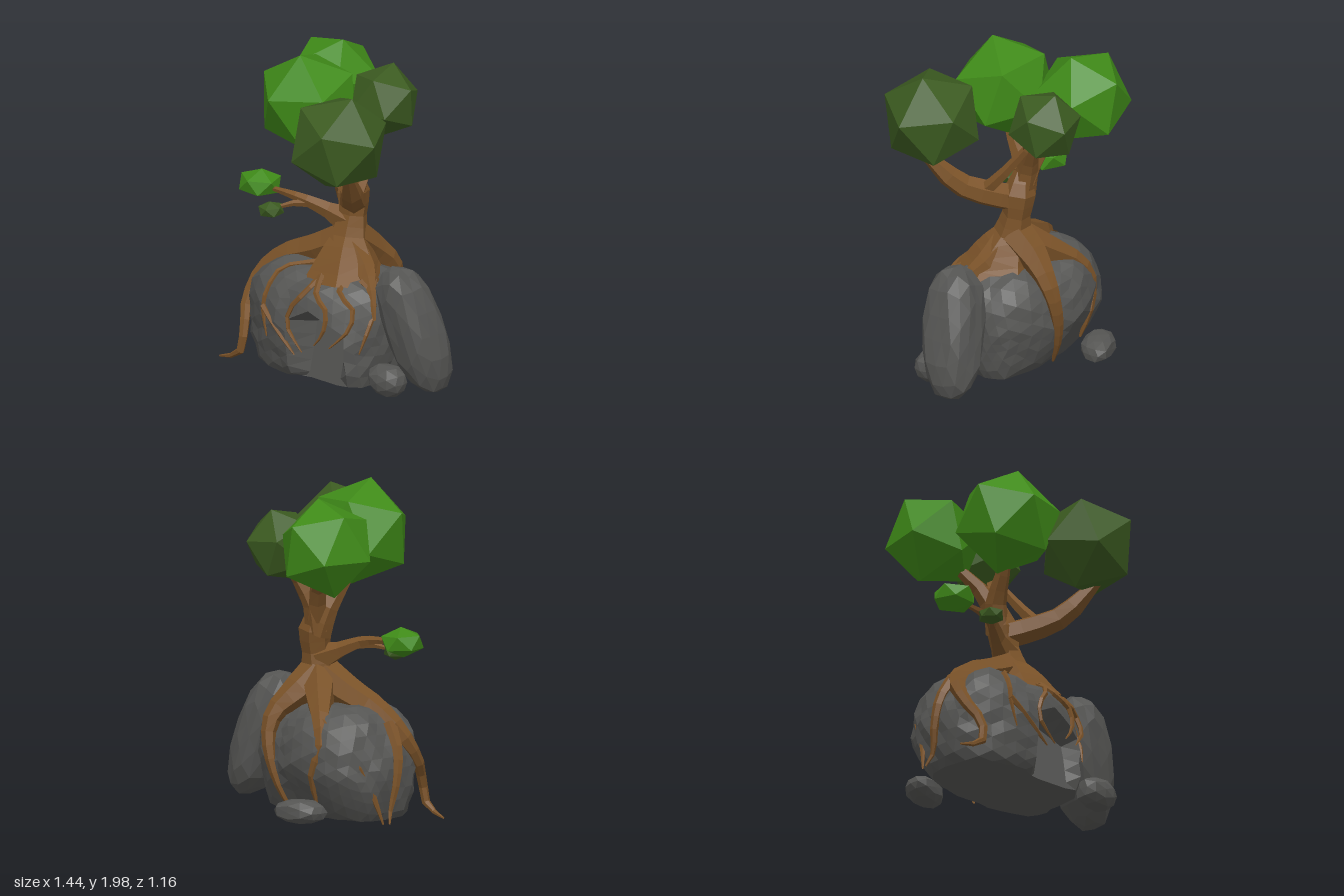
import * as THREE from 'three';

const paint = (color) => new THREE.MeshStandardMaterial({ color, flatShading: true, side: THREE.DoubleSide });
const V = (a) => new THREE.Vector3(...a);

// Main rock: centre, half sizes and roundness exponent
const ROCK = { c: [-0.15, 0.28, -0.05], s: [0.505, 0.415, 0.38], p: 2.9 };

// Lumpy super-ellipsoid stone; shape() may adjust each finished vertex
function stoneGeometry({ c, s, p }, detail, seed, shape = () => {}) {
  const geo = new THREE.IcosahedronGeometry(1, detail);
  const pos = geo.attributes.position;
  const v = new THREE.Vector3();
  for (let i = 0; i < pos.count; i++) {
    v.fromBufferAttribute(pos, i).normalize();
    const lump = 1 + 0.03 * (Math.sin(5 * v.x + 3 * v.y + seed) + Math.sin(6 * v.z - 4 * v.y + 2 * seed)
      * Math.cos(7 * v.x + seed)) + 0.014 * Math.sin(17 * v.x + 13 * v.y + 19 * v.z + seed);
    const sum = Math.abs(v.x) ** p + Math.abs(v.y) ** p + Math.abs(v.z) ** p;
    v.multiplyScalar(lump * sum ** (-1 / p));
    v.set(c[0] + v.x * s[0], c[1] + v.y * s[1], c[2] + v.z * s[2]);
    shape(v);
    pos.setXYZ(i, v.x, v.y, v.z);
  }
  geo.computeVertexNormals();
  return geo;
}

// Tapered limb along a curve; radii are spread evenly over its length
function limbGeometry(points, radii, sides) {
  const curve = new THREE.CatmullRomCurve3(points.map(V), false, 'centripetal');
  const segs = (points.length - 1) * 2;
  const geo = new THREE.TubeGeometry(curve, segs, 1, sides);
  const pos = geo.attributes.position;
  const v = new THREE.Vector3();
  for (let i = 0; i <= segs; i++) {
    const centre = curve.getPointAt(i / segs);
    const t = (i / segs) * (radii.length - 1);
    const k = Math.min(Math.floor(t), radii.length - 2);
    const r = THREE.MathUtils.lerp(radii[k], radii[k + 1], t - k);
    for (let j = 0; j <= sides; j++) {
      const n = i * (sides + 1) + j;
      v.fromBufferAttribute(pos, n).sub(centre).multiplyScalar(r).add(centre);
      pos.setXYZ(n, v.x, v.y, v.z);
    }
  }
  return geo;
}

// Rotation taking one pair of neighbouring icosahedron corners to directions a and b
function cornerRotation(a, b) {
  const g = (1 + Math.sqrt(5)) / 2;
  const frame = (p, q) => {
    const x = p.clone().normalize();
    const z = x.clone().cross(q).normalize();
    return new THREE.Matrix4().makeBasis(x, z.clone().cross(x), z);
  };
  const from = frame(V([-1, g, 0]), V([1, g, 0]));
  return frame(V(a), V(b)).multiply(from.transpose());
}

// Height field of the main rock's front face
function rockFrontZ(x, y) {
  const { c, s, p } = ROCK;
  const rest = 1 - Math.abs((x - c[0]) / s[0]) ** p - Math.abs((y - c[1]) / s[1]) ** p;
  return c[2] + s[2] * Math.max(rest, 0.02) ** (1 / p);
}

export function createModel() {
  const model = new THREE.Group();
  const bark = paint(0x7a5228);
  const stone = paint(0x555553);
  const lightLeaf = paint(0x3f8a18);
  const darkLeaf = paint(0x3b5a20);
  const add = (name, geo, mat) => {
    const mesh = new THREE.Mesh(geo, mat);
    mesh.name = name;
    model.add(mesh);
  };
  const limb = (name, points, radii, sides = 6) => add(name, limbGeometry(points, radii, sides), bark);

  // Foliage: centre, half sizes, two corner directions
  const foliage = [
    ['foliageFront', lightLeaf, [-0.19, 1.69, 0.105], [0.335, 0.32, 0.305], [-0.04, 0.06, 0.3], [0.01, 0.3, 0.09]],
    ['foliageRight', darkLeaf, [0.255, 1.59, 0.305], [0.305, 0.31, 0.31], [0.1, 0.29, -0.01], [0.3, 0.02, 0.01]],
    ['foliageBackLeft', lightLeaf, [-0.4, 1.66, -0.315], [0.3, 0.3, 0.295], [0.1, 0.29, 0.014], [-0.2, 0.21, -0.028]],
    ['foliageBack', darkLeaf, [0, 1.63, -0.34], [0.22, 0.23, 0.22], [0, 0.21, -0.08], [0.2, 0.09, -0.02]],
    ['leafTuftLarge', lightLeaf, [-0.595, 1.08, 0.1], [0.14, 0.09, 0.135], [0.1, 1, 0], [0.8, 0.5, 0.2]],
    ['leafTuftSmall', darkLeaf, [-0.4, 0.985, 0.205], [0.08, 0.052, 0.085], [0, 1, 0.1], [0.9, 0.5, 0]],
  ];
  for (const [name, mat, c, s, a, b] of foliage) {
    const geo = new THREE.IcosahedronGeometry(1, 0).applyMatrix4(cornerRotation(a, b));
    add(name, geo.scale(...s).translate(...c), mat);
  }

  // Trunk and branches
  limb('trunk', [[0, 0.58, -0.02], [-0.01, 0.7, -0.04], [-0.03, 0.85, -0.08], [-0.03, 1, -0.11],
    [-0.04, 1.12, -0.12], [-0.07, 1.24, -0.12]], [0.27, 0.19, 0.115, 0.085, 0.1, 0.05], 6);
  limb('branchRight', [[-0.04, 1.07, -0.11], [0.07, 1.11, -0.01], [0.2, 1.18, 0.13], [0.34, 1.4, 0.31]],
    [0.085, 0.08, 0.065, 0.03]);
  limb('branchFront', [[-0.07, 1.08, -0.12], [-0.12, 1.24, -0.09], [-0.15, 1.4, 0.01], [-0.18, 1.55, 0.08]],
    [0.08, 0.065, 0.045, 0.035]);
  limb('branchBack', [[-0.07, 1.1, -0.12], [-0.07, 1.27, -0.16], [-0.02, 1.42, -0.23], [0.01, 1.55, -0.31]],
    [0.08, 0.065, 0.045, 0.035]);
  limb('branchBackLeft', [[-0.08, 1.18, -0.14], [-0.14, 1.34, -0.18], [-0.3, 1.52, -0.27]], [0.065, 0.05, 0.03]);
  limb('twigRight', [[0.12, 1.13, 0.03], [0.09, 1.25, -0.08], [0.04, 1.45, -0.23]], [0.045, 0.035, 0.025], 5);
  limb('sideBranch', [[-0.05, 0.93, -0.09], [-0.17, 0.99, -0.02], [-0.27, 1.04, 0.05], [-0.37, 1.06, 0.08],
    [-0.53, 1.07, 0.1]], [0.09, 0.05, 0.035, 0.022, 0.012], 5);
  limb('sideTwig', [[-0.24, 1.02, 0.03], [-0.32, 1.02, 0.11], [-0.39, 0.99, 0.19]], [0.028, 0.018, 0.01], 5);

  // Large roots gripping the left and back of the rock
  const bigRoots = [
    ['rootLeft', [[-0.06, 0.82, -0.06], [-0.24, 0.73, -0.02], [-0.44, 0.65, 0.03], [-0.57, 0.53, 0.1],
      [-0.6, 0.38, 0.2], [-0.54, 0.22, 0.29], [-0.56, 0.08, 0.31], [-0.72, 0.02, 0.31]],
    [0.11, 0.1, 0.085, 0.065, 0.04, 0.03, 0.025, 0.006]],
    ['rootLeftOuter', [[-0.54, 0.59, 0.04], [-0.64, 0.44, 0.03], [-0.665, 0.25, 0.0], [-0.65, 0.1, -0.03],
      [-0.68, 0.02, -0.06]], [0.05, 0.035, 0.028, 0.02, 0.006]],
    ['rootBack', [[-0.03, 0.84, -0.1], [-0.02, 0.74, -0.24], [0.02, 0.63, -0.37], [0.02, 0.52, -0.42],
      [-0.01, 0.36, -0.43], [-0.05, 0.18, -0.39], [-0.08, 0.06, -0.34]],
    [0.11, 0.095, 0.065, 0.045, 0.035, 0.025, 0.008]],
    ['rootBackLeft', [[-0.05, 0.82, -0.1], [-0.2, 0.71, -0.21], [-0.34, 0.61, -0.31], [-0.41, 0.48, -0.36],
      [-0.36, 0.3, -0.39], [-0.34, 0.12, -0.34]], [0.11, 0.09, 0.06, 0.04, 0.028, 0.008]],
    ['rootBackLeftFork', [[-0.35, 0.61, -0.31], [-0.5, 0.51, -0.27], [-0.59, 0.38, -0.23], [-0.63, 0.2, -0.15],
      [-0.67, 0.02, -0.1]], [0.04, 0.035, 0.028, 0.02, 0.006]],
    ['rootRight', [[0.02, 0.78, -0.05], [0.15, 0.69, -0.02], [0.27, 0.6, 0.05], [0.35, 0.45, 0.1]],
      [0.09, 0.07, 0.035, 0.01]],
  ];
  for (const [name, points, radii] of bigRoots) limb(name, points, radii);

  // Thin roots: front outlines (x, y) laid onto the face of the rock
  const thinRoots = [
    [[-0.14, 0.69], [-0.31, 0.64], [-0.34, 0.52], [-0.35, 0.42], [-0.31, 0.25]],
    [[-0.35, 0.43], [-0.27, 0.36], [-0.17, 0.27], [-0.08, 0.19]],
    [[-0.02, 0.68], [-0.04, 0.58], [-0.12, 0.47], [-0.14, 0.36], [-0.02, 0.22]],
    [[-0.01, 0.66], [0.04, 0.57], [0.13, 0.5], [0.13, 0.37], [0.07, 0.28]],
    [[0.1, 0.67], [0.17, 0.59], [0.26, 0.52], [0.27, 0.41], [0.17, 0.28]],
    [[0.2, 0.65], [0.28, 0.6], [0.32, 0.5], [0.33, 0.38], [0.31, 0.25]],
  ];
  thinRoots.forEach((outline, i) => limb(`thinRoot${i + 1}`,
    outline.map(([x, y]) => [x, y, rockFrontZ(x, y) + 0.01]), [0.022, 0.018, 0.016, 0.013, 0.004], 5));

  // Main rock with a flat foot, an undercut back and a shallow cave in front
  add('mainRock', stoneGeometry(ROCK, 6, 1.3, (v) => {
    v.y = Math.max(v.y, 0.025);
    const low = Math.max(0, 0.32 - v.y);
    if (v.z < 0) v.z *= 1 - 0.95 * low;
    if (v.x < -0.15) v.x += (v.x + 0.15) * -0.3 * low;
    const arch = 0.42 - 1.5 * Math.max(0, Math.abs(v.x - 0.03) - 0.1);
    if (v.z > 0.2 && Math.abs(v.x - 0.03) < 0.17 && v.y < arch) v.z = 0.22 - 0.2 * v.y;
  }), stone);

  // Leaning boulder and the loose stones
  add('leaningBoulder', stoneGeometry({ c: [0.52, 0.395, -0.065], s: [0.16, 0.37, 0.165], p: 2.8 }, 2, 4, (v) => {
    v.x -= (v.y - 0.395) * 0.27;
    v.z += (v.y - 0.395) * 0.14;
    v.y = Math.max(v.y, 0.025);
  }), stone);
  add('smallStoneFront', stoneGeometry({ c: [0.475, 0.115, 0.12], s: [0.125, 0.09, 0.09], p: 2.8 }, 1, 2), stone);
  add('smallStoneBack', stoneGeometry({ c: [-0.35, 0.095, -0.47], s: [0.14, 0.07, 0.1], p: 2.8 }, 1, 5,
    (v) => { v.z -= (v.x + 0.35) * 0.3; }), stone);

  return model;
}
